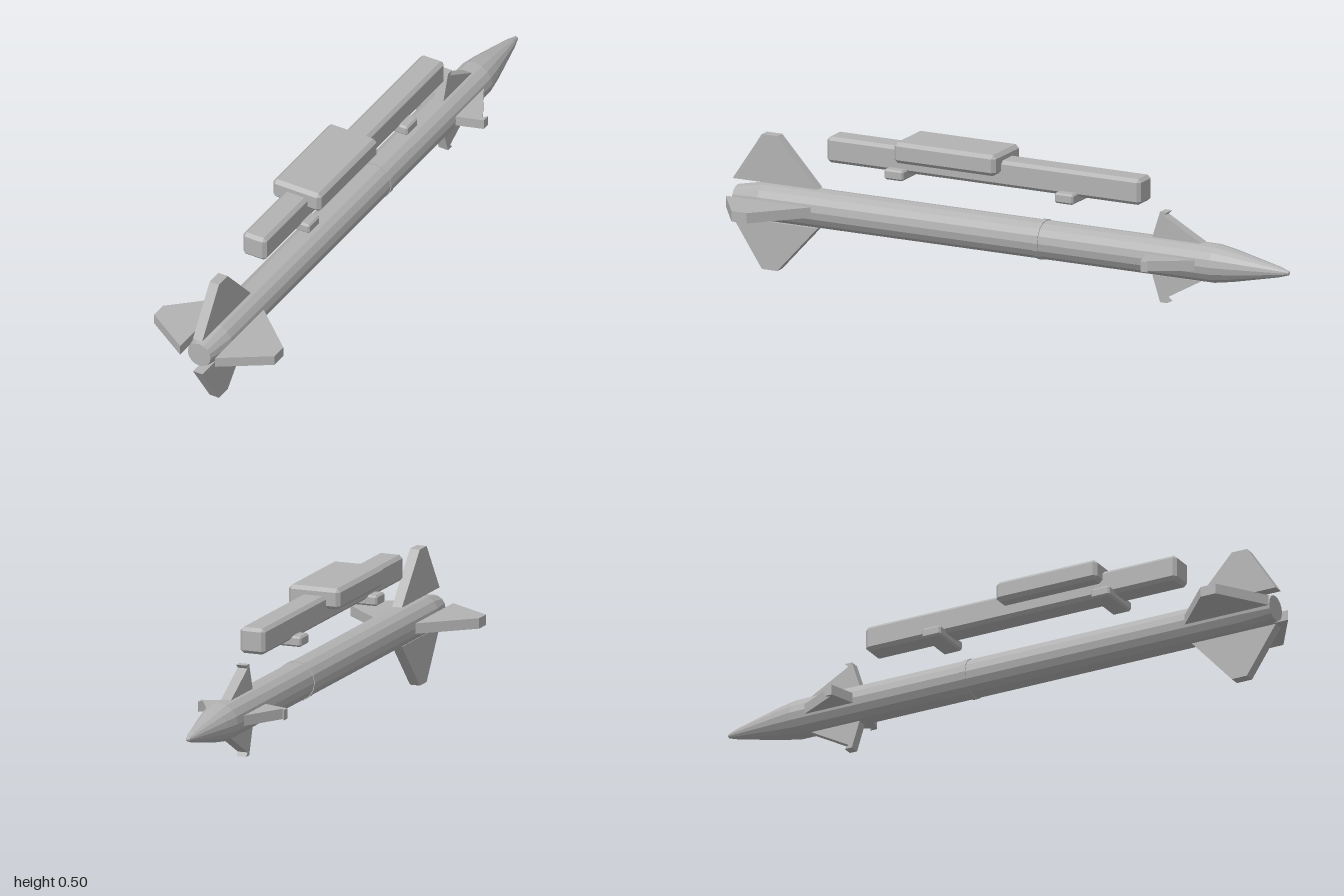
import * as THREE from 'three';
import { ConvexGeometry } from 'three/addons/geometries/ConvexGeometry.js';

const AXIS_Y = 0.222; // height of the body axis

// Box with bevelled edges and corners
function bevelBox(w, h, d, c) {
  const half = [w / 2, h / 2, d / 2];
  const points = [];
  for (let axis = 0; axis < 3; axis++)
    for (const sx of [-1, 1]) for (const sy of [-1, 1]) for (const sz of [-1, 1]) {
      const s = [sx, sy, sz];
      points.push(new THREE.Vector3(...half.map((v, i) => s[i] * (i === axis ? v : v - c))));
    }
  return new ConvexGeometry(points);
}

export function createModel() {
  const model = new THREE.Group();
  model.name = 'missileAndRail';
  const grey = new THREE.MeshStandardMaterial({ color: 0xb2b2b2, flatShading: true });
  grey.name = 'grey';

  function add(parent, name, geometry, x = 0, y = 0, z = 0) {
    const mesh = new THREE.Mesh(geometry, grey);
    mesh.name = name;
    mesh.position.set(x, y, z);
    parent.add(mesh);
    return mesh;
  }

  // Surface of revolution along z; profile rows are [radius, z], tail to nose
  function turned(rows) {
    const g = new THREE.LatheGeometry(rows.map(([r, z]) => new THREE.Vector2(r, -z)), 16);
    return g.rotateX(-Math.PI / 2);
  }

  const missile = new THREE.Group();
  missile.name = 'missile';
  missile.position.y = AXIS_Y;
  model.add(missile);

  // Body with tapered tail and pointed nose
  add(missile, 'body', turned([
    [0, 0.99], [0.042, 0.99], [0.063, 0.89], [0.063, -0.74],
    [0.053, -0.8], [0.018, -0.96], [0.007, -0.995], [0, -1],
  ]));
  add(missile, 'collar', turned([
    [0.06, -0.103], [0.0655, -0.103], [0.0655, -0.122], [0.06, -0.122],
  ]));

  // Four fins around the axis; outline rows are [radius, z]
  function finSet(name, outline) {
    const shape = new THREE.Shape(outline.map(([r, z]) => new THREE.Vector2(r, -z)));
    const thick = 0.034;
    const g = new THREE.ExtrudeGeometry(shape, { depth: thick, bevelEnabled: false });
    g.translate(0, 0, -thick / 2).rotateX(-Math.PI / 2);
    for (let i = 0; i < 4; i++) add(missile, name, g).rotation.z = i * Math.PI / 2;
  }
  finSet('tailFin', [[0.064, 1], [0.222, 0.895], [0.222, 0.84], [0.064, 0.695]]);
  finSet('frontFin', [
    [0.062, -0.512], [0.149, -0.54], [0.149, -0.566], [0.137, -0.553], [0.062, -0.688],
  ]);

  // Launch rail above the missile
  const launcher = new THREE.Group();
  launcher.name = 'launcher';
  model.add(launcher);
  add(launcher, 'rail', bevelBox(0.086, 0.085, 1.13, 0.011), 0, 0.43, 0.085);
  add(launcher, 'mountPlate', bevelBox(0.178, 0.069, 0.367, 0.012), 0, 0.464, 0.202);
  for (const z of [0.392, -0.222])
    add(launcher, 'lug', bevelBox(0.148, 0.034, 0.068, 0.006), 0, 0.385, z);

  return model;
}
